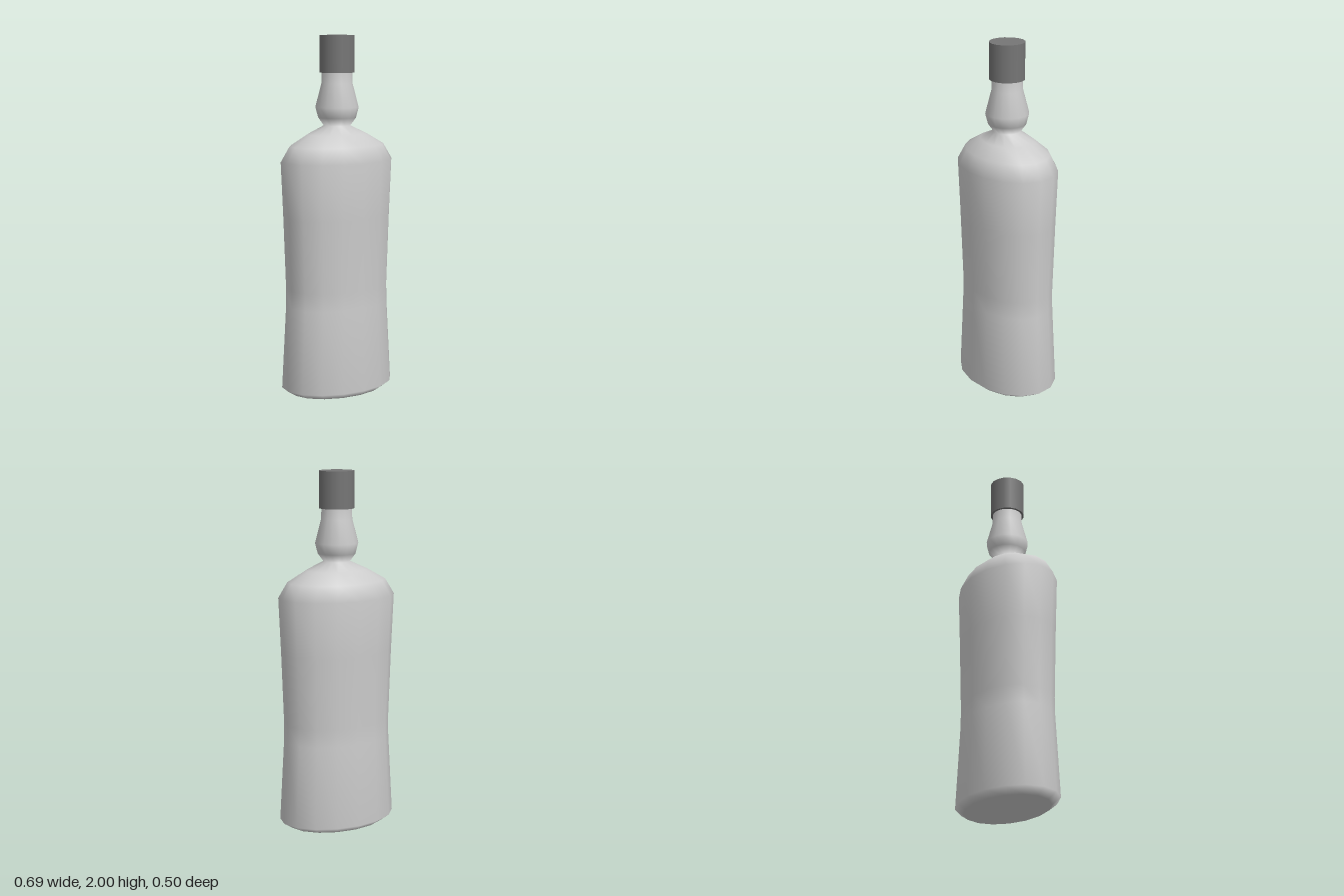
import * as THREE from 'three';
import { mergeVertices } from 'three/addons/utils/BufferGeometryUtils.js';

const SIDES = 16;

// Smooth lathe whose rings are ellipses; rows are [height, half width, half depth]
function ovalLathe(rows) {
  const points = rows.map(([y, rx]) => new THREE.Vector2(rx, y));
  let geo = new THREE.LatheGeometry(points, SIDES);
  const pos = geo.attributes.position;
  for (let i = 0; i < pos.count; i++) {
    const [, rx, rz] = rows[i % rows.length];
    if (rx > 0) pos.setZ(i, pos.getZ(i) * rz / rx);
  }
  // weld the seam so shading runs smoothly all the way round
  geo.deleteAttribute('uv');
  geo.deleteAttribute('normal');
  geo = mergeVertices(geo, 1e-4);
  geo.computeVertexNormals();
  return geo;
}

export function createModel() {
  const group = new THREE.Group();
  const glass = new THREE.MeshStandardMaterial({ color: 0xcccccc, side: THREE.DoubleSide });
  const dark = new THREE.MeshStandardMaterial({ color: 0x757575 });

  // Bottle: oval waisted body, sloping shoulders and round bulbous neck
  const bottle = new THREE.Mesh(ovalLathe([
    [0, 0, 0],
    [0.003, 0.29, 0.207],
    [0.037, 0.345, 0.248],
    [0.5, 0.318, 0.228],
    [0.6, 0.317, 0.227],
    [1.0, 0.331, 0.238],
    [1.31, 0.345, 0.248],
    [1.395, 0.292, 0.208],
    [1.457, 0.18, 0.137],
    [1.503, 0.074, 0.074],
    [1.547, 0.106, 0.106],
    [1.605, 0.121, 0.121],
    [1.735, 0.087, 0.087],
    [1.82, 0.084, 0.084],
  ]), glass);
  bottle.name = 'bottle';
  group.add(bottle);

  // Screw cap
  const cap = new THREE.Mesh(new THREE.CylinderGeometry(0.098, 0.098, 0.205, SIDES), dark);
  cap.position.y = 1.8975;
  cap.name = 'cap';
  group.add(cap);

  return group;
}
